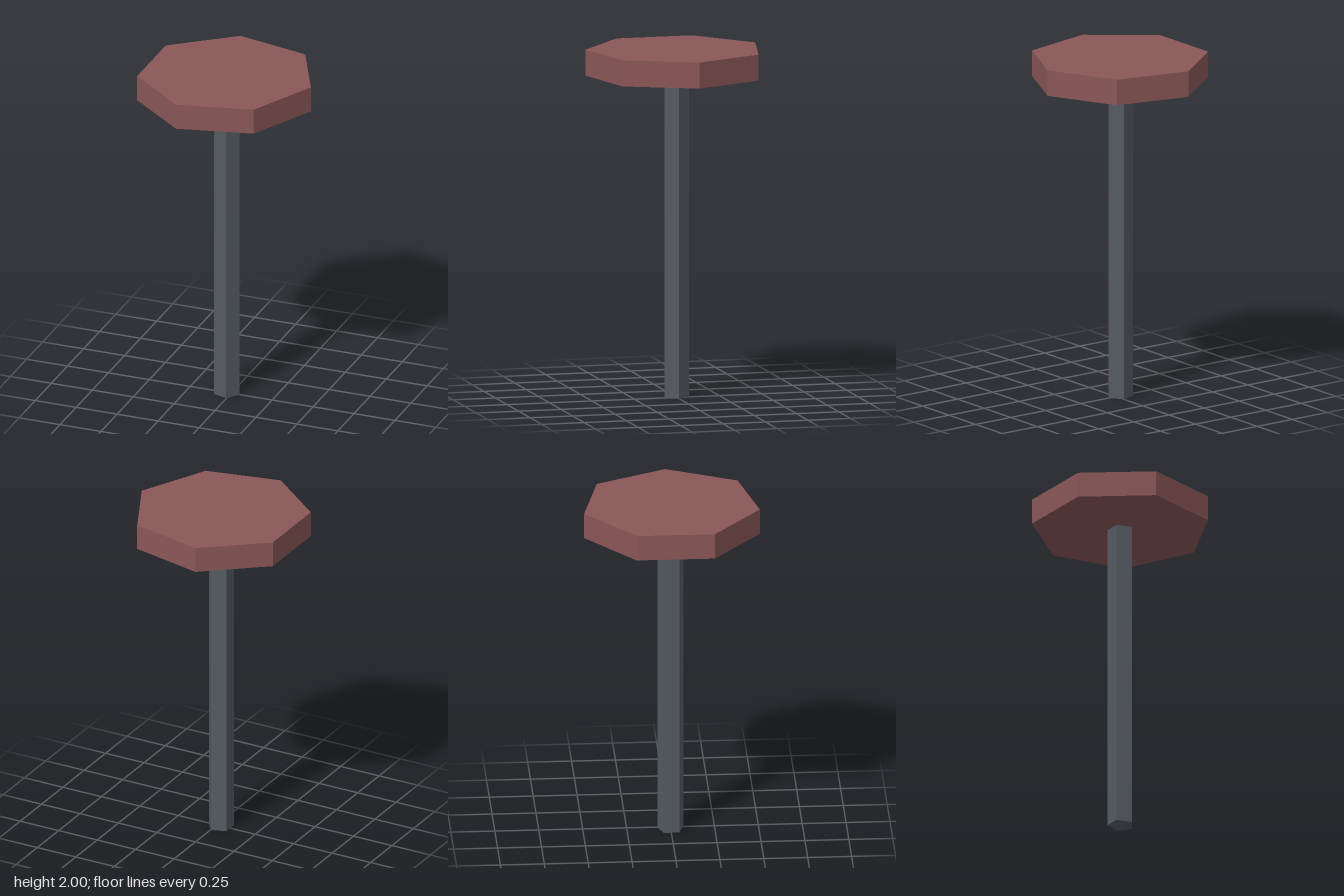
import * as THREE from 'three';

export function createModel() {
  const model = new THREE.Group();
  const seatRed = new THREE.MeshStandardMaterial({ color: 0x8b5757 });
  seatRed.name = 'dusty red';
  const postGrey = new THREE.MeshStandardMaterial({ color: 0x555b63 });
  postGrey.name = 'slate grey';

  // Upright prism with one corner pointing to +x
  function prism(name, radius, sides, bottom, top, material) {
    const geometry = new THREE.CylinderGeometry(radius, radius, top - bottom, sides, 1, false, Math.PI / 2)
      .toNonIndexed();
    geometry.computeVertexNormals(); // flat facets
    const mesh = new THREE.Mesh(geometry, material);
    mesh.name = name;
    mesh.position.set(-0.0254, (bottom + top) / 2, 0);
    model.add(mesh);
  }

  prism('post', 0.077, 5, 0, 1.85, postGrey);
  prism('seat', 0.5128, 7, 1.85, 2, seatRed);
  return model;
}
